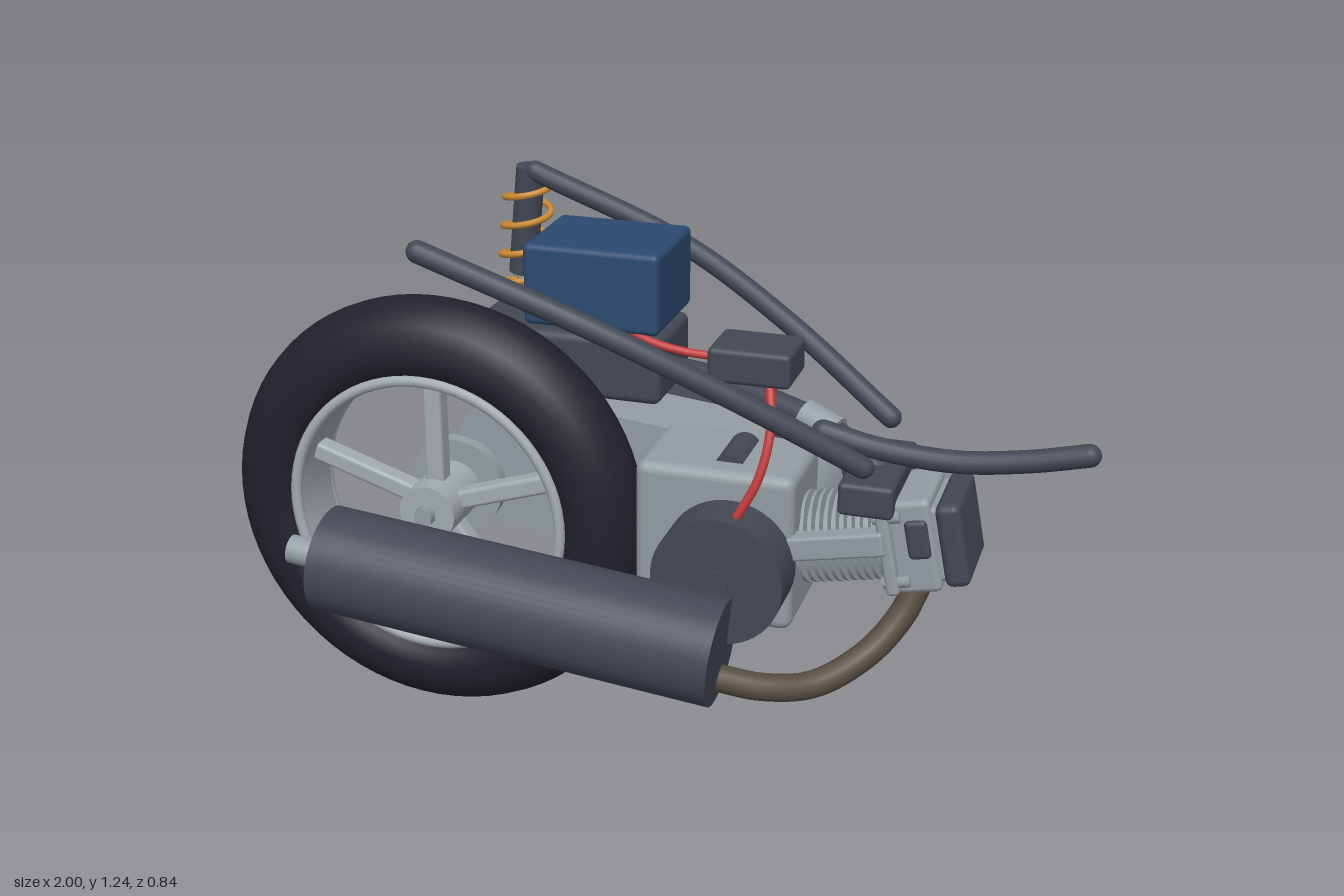
import * as THREE from 'three';
import { RoundedBoxGeometry } from 'three/addons/geometries/RoundedBoxGeometry.js';

const mat = (name, color) => {
  const m = new THREE.MeshStandardMaterial({ color });
  m.name = name;
  return m;
};
const V = (p) => new THREE.Vector3(...p);

export function createModel() {
  const rubber = mat('rubber', 0x22212b);
  const dark = mat('darkPlastic', 0x434854);
  const silver = mat('castAluminium', 0x949da2);
  const rimSilver = mat('wheelSilver', 0xa3abaf);
  const blue = mat('batteryBlue', 0x2b4a70);
  const orange = mat('springOrange', 0xc98a34);
  const brown = mat('exhaustBrown', 0x574d42);
  const red = mat('wireRed', 0xc43c3c);

  const model = new THREE.Group();
  model.name = 'scooterDrivetrain';

  const add = (name, geo, material, pos = [0, 0, 0], parent = model) => {
    const m = new THREE.Mesh(geo, material);
    m.name = name;
    m.position.set(...pos);
    parent.add(m);
    return m;
  };
  const box = (name, size, pos, material, r = 0.012, parent = model) =>
    add(name, new RoundedBoxGeometry(...size, 3, r), material, pos, parent);
  // Solid rod between two points
  const rod = (name, a, b, r, material, parent = model, sides = 32) => {
    const A = V(a), B = V(b), d = B.clone().sub(A);
    const m = add(name, new THREE.CylinderGeometry(r, r, d.length(), sides), material, [0, 0, 0], parent);
    m.position.copy(A).add(B).multiplyScalar(0.5);
    m.quaternion.setFromUnitVectors(new THREE.Vector3(0, 1, 0), d.normalize());
    return m;
  };
  // Curved tube with rounded ends
  const tube = (name, pts, r, material) => {
    const g = new THREE.Group();
    g.name = name;
    model.add(g);
    const curve = new THREE.CatmullRomCurve3(pts.map(V));
    add(name + 'Body', new THREE.TubeGeometry(curve, 40, r, 16), material, [0, 0, 0], g);
    for (const p of [pts[0], pts[pts.length - 1]])
      add(name + 'End', new THREE.SphereGeometry(r, 16, 10), material, p, g);
  };

  // Wheel: tyre, rim, hub and five spokes, axle along z
  const wheel = new THREE.Group();
  wheel.name = 'rearWheel';
  wheel.position.set(-0.495, 0.505, 0.02);
  model.add(wheel);
  const lathe = (pts) =>
    new THREE.LatheGeometry(pts.map((p) => new THREE.Vector2(...p)), 72).rotateX(Math.PI / 2);
  const half = [[0.338, 0.075], [0.352, 0.095], [0.385, 0.105], [0.425, 0.1], [0.46, 0.083], [0.488, 0.053], [0.502, 0.02]];
  const section = [...half.map(([r, z]) => [r, -z]), [0.505, 0], ...half.slice().reverse()];
  add('tyre', lathe(section), rubber, [0, 0, 0], wheel);
  for (const s of [-1, 1]) {
    const lip = new THREE.TorusGeometry(0.329, 0.013, 10, 72);
    add('rimLip', lip, rimSilver, [0, 0, s * 0.08], wheel);
  }
  add('rim', lathe([[0.342, -0.085], [0.342, 0.085], [0.318, 0.085], [0.318, -0.085], [0.342, -0.085]]),
    rimSilver, [0, 0, 0], wheel);
  rod('hub', [0, 0, -0.09], [0, 0, 0.075], 0.068, rimSilver, wheel);
  rod('axleNut', [0, 0, 0.07], [0, 0, 0.1], 0.024, silver, wheel, 6);
  for (let i = 0; i < 5; i++) {
    const a = Math.PI / 2 + (i * Math.PI * 2) / 5;
    const spoke = box('spoke', [0.275, 0.045, 0.05], [Math.cos(a) * 0.19, Math.sin(a) * 0.19, 0], rimSilver, 0.01, wheel);
    spoke.rotation.z = a;
  }
  rod('gearboxHub', [-0.495, 0.505, -0.125], [-0.495, 0.505, -0.085], 0.115, silver);
  rod('gearboxAxle', [-0.495, 0.505, -0.15], [-0.495, 0.505, -0.12], 0.03, silver);

  // Belt drive case: slanted stadium, pale inner body with a dark cover
  const R = 0.17, front = [0.23, 0.51], rear = [-0.34, 0.57];
  const tilt = Math.atan2(front[1] - rear[1], front[0] - rear[0]);
  const stadium = new THREE.Shape();
  stadium.absarc(...front, R, tilt - Math.PI / 2, tilt + Math.PI / 2, false);
  stadium.absarc(...rear, R, tilt + Math.PI / 2, tilt + Math.PI * 1.5, false);
  const slab = (depth) => new THREE.ExtrudeGeometry(stadium, { depth, bevelEnabled: false, curveSegments: 32 });
  add('driveCase', slab(0.195), silver, [0, 0, -0.31]);
  add('driveCover', slab(0.1), dark, [0, 0, -0.41]);

  // Crankcase and flywheel cover
  box('crankcase', [0.36, 0.365, 0.25], [0.2, 0.537, 0.005], silver, 0.025);
  rod('flywheelCover', [0.24, 0.51, 0.12], [0.24, 0.51, 0.24], 0.147, dark, model, 48);
  rod('flywheelBolt', [0.24, 0.51, 0.24], [0.24, 0.51, 0.246], 0.028, dark);
  rod('starterMotor', [0.3, 0.7, -0.28], [0.3, 0.7, -0.11], 0.034, dark);
  rod('starterCap', [0.3, 0.7, -0.25], [0.3, 0.7, -0.15], 0.038, dark);
  rod('oilFiller', [0.22, 0.7, -0.07], [0.22, 0.7, 0.07], 0.036, dark);

  // Finned cylinder and head, leaning up toward the front end
  const engine = new THREE.Group();
  engine.name = 'cylinderGroup';
  engine.position.set(0.24, 0.51, 0.01);
  engine.rotation.z = 0.2;
  model.add(engine);
  rod('cylinderBarrel', [0.1, 0, 0], [0.36, 0, 0], 0.075, silver, engine);
  for (let i = 0; i < 11; i++) {
    const x = 0.145 + i * 0.018;
    rod('coolingFin', [x, 0, 0], [x + 0.007, 0, 0], 0.103, silver, engine);
  }
  box('chainTunnel', [0.26, 0.055, 0.05], [0.22, 0.02, 0.1], silver, 0.008, engine);
  box('headBase', [0.03, 0.21, 0.23], [0.35, 0, 0], silver, 0.01, engine);
  box('cylinderHead', [0.1, 0.215, 0.2], [0.405, 0, 0], silver, 0.015, engine);
  box('headPort', [0.05, 0.09, 0.22], [0.42, 0.02, 0], dark, 0.012, engine);
  box('headCoverBase', [0.03, 0.17, 0.18], [0.455, 0, 0], silver, 0.01, engine);
  box('headCover', [0.055, 0.19, 0.21], [0.492, 0, 0.005], dark, 0.018, engine);
  for (const y of [-0.075, 0.075])
    for (const z of [-0.1, 0.1])
      rod('headBolt', [0.33, y, z], [0.39, y, z], 0.014, silver, engine, 6);

  // Intake: air box, hose, clamp and throttle body
  box('airBox', [0.47, 0.155, 0.245], [-0.235, 0.828, -0.24], dark, 0.02);
  tube('intakeHose', [[-0.02, 0.82, -0.205], [0.14, 0.818, -0.16], [0.28, 0.8, -0.105], [0.38, 0.782, -0.07],
    [0.47, 0.75, -0.035], [0.54, 0.71, 0]], 0.028, dark);
  rod('hoseClamp', [0.35, 0.79, -0.078], [0.43, 0.766, -0.05], 0.038, silver);
  box('throttleBody', [0.12, 0.075, 0.285], [0.535, 0.695, -0.005], dark);

  // Exhaust
  const muffler = new THREE.Group();
  muffler.name = 'exhaust';
  model.add(muffler);
  rod('muffler', [-0.655, 0.46, 0.288], [0.268, 0.37, 0.288], 0.12, dark, muffler, 48);
  rod('tailPipe', [-0.745, 0.469, 0.288], [-0.64, 0.459, 0.288], 0.033, silver, muffler);
  tube('headerPipe', [[0.25, 0.295, 0.265], [0.35, 0.272, 0.235], [0.45, 0.265, 0.175], [0.55, 0.315, 0.09],
    [0.61, 0.39, 0.035], [0.635, 0.45, 0.01]], 0.031, brown);

  // Frame rails, mirrored, and the front tube
  for (const s of [-1, 1])
    tube(s < 0 ? 'rightRail' : 'leftRail', [[-0.375, 1.218, s * 0.338], [0, 1.08, s * 0.315],
      [0.27, 0.94, s * 0.245], [0.53, 0.78, s * 0.148]], 0.024, dark);
  tube('frontTube', [[0.41, 0.79, 0], [0.53, 0.765, 0], [0.7, 0.755, 0], [0.85, 0.775, 0], [0.978, 0.805, 0]], 0.025, dark);

  // Shock absorber with coil spring
  const top = V([-0.39, 1.225, -0.35]), bottom = V([-0.45, 0.7, -0.372]);
  const at = (t) => top.clone().lerp(bottom, t).toArray();
  rod('shockBody', at(0), at(0.5), 0.034, dark);
  rod('shockRod', at(0.45), at(1), 0.014, silver);
  rod('shockMount', [-0.45, 0.7, -0.395], [-0.45, 0.7, -0.34], 0.03, silver);
  const coil = [];
  for (let i = 0; i <= 96; i++) {
    const t = i / 96, a = t * Math.PI * 2 * 6;
    coil.push(V(at(0.08 + t * 0.82)).add(V([Math.cos(a) * 0.056, 0, Math.sin(a) * 0.056])));
  }
  add('coilSpring', new THREE.TubeGeometry(new THREE.CatmullRomCurve3(coil), 240, 0.008, 8), orange);

  // Battery, control unit and wiring
  box('battery', [0.305, 0.18, 0.248], [-0.078, 1.098, 0.004], blue, 0.014);
  box('controlUnit', [0.18, 0.077, 0.14], [0.28, 0.972, 0.088], dark);
  tube('batteryWire', [[0, 1.015, 0.11], [0.06, 0.997, 0.122], [0.13, 0.983, 0.12], [0.2, 0.972, 0.1]], 0.009, red);
  tube('engineWire', [[0.31, 0.94, 0.09], [0.33, 0.84, 0.15], [0.315, 0.74, 0.185], [0.27, 0.645, 0.2]], 0.01, red);

  return model;
}
